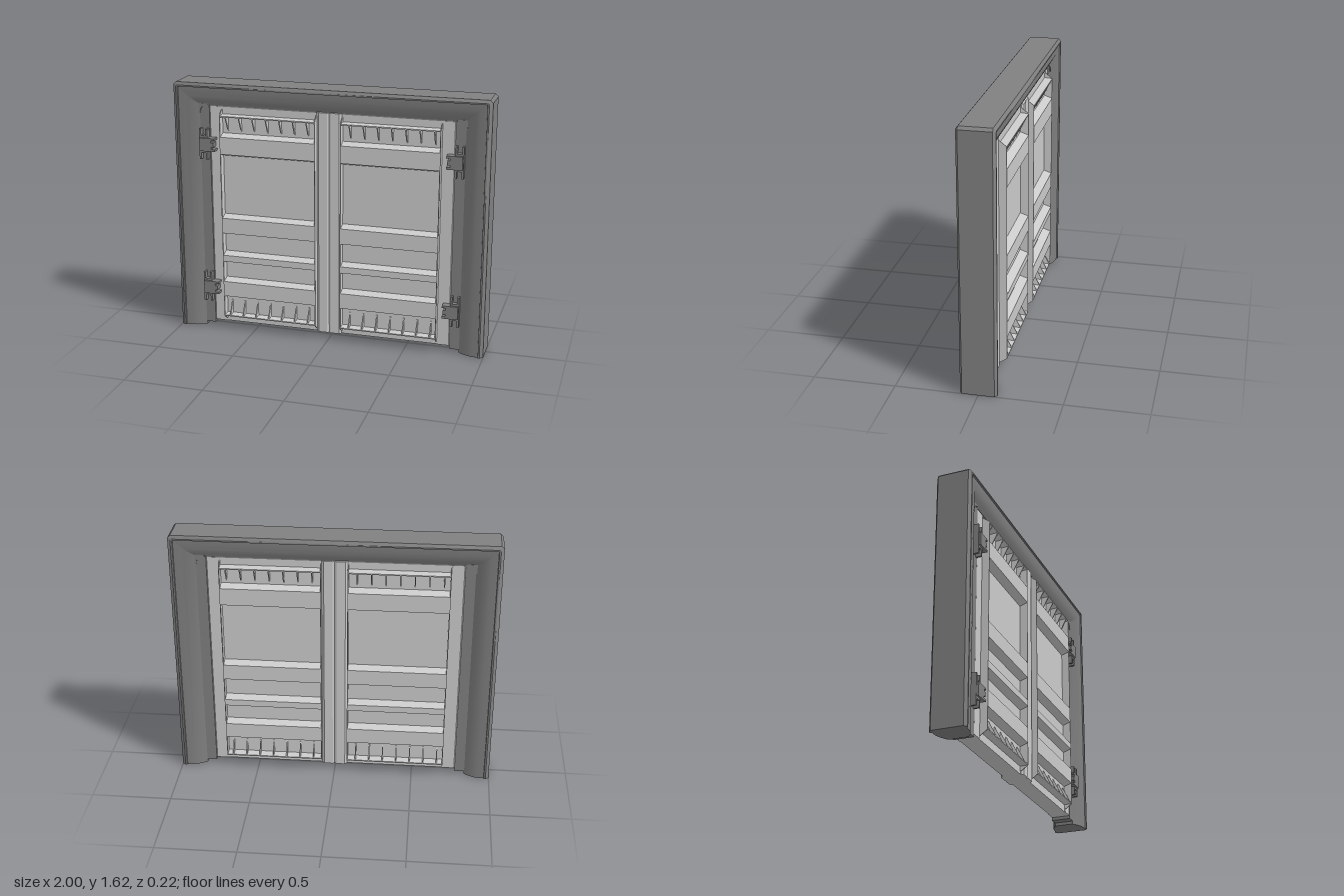
import * as THREE from 'three';
import { toCreasedNormals } from 'three/addons/utils/BufferGeometryUtils.js';

const dark = new THREE.MeshStandardMaterial({ color: 0x808080 });
const light = new THREE.MeshStandardMaterial({ color: 0xcccccc, flatShading: true });

function add(parent, name, geometry, material) {
  const mesh = new THREE.Mesh(geometry, material);
  mesh.name = name;
  parent.add(mesh);
  return mesh;
}

function box(parent, name, material, x, y, z, w, h, d) {
  add(parent, name, new THREE.BoxGeometry(w, h, d), material).position.set(x, y, z);
}

function extrude(points, depth) {
  const shape = new THREE.Shape(points.map(([x, y]) => new THREE.Vector2(x, y)));
  return new THREE.ExtrudeGeometry(shape, { depth, bevelEnabled: false });
}

// Outline in (z, y), centred on cx along x
function extrudeX(points, cx, width) {
  const flipped = points.map(([z, y]) => [-z, y]);
  return extrude(flipped, width).translate(0, 0, -width / 2).rotateY(Math.PI / 2).translate(cx, 0, 0);
}

// Outline in (x, z) with a mirrored back half, rising from y0 to y1
function upright(half, s, y0, y1) {
  const pts = half.map(([x, z]) => [s * x, z]);
  const back = pts.map(([x, z]) => [x, -z]).reverse();
  return extrude([...pts, ...back], y1 - y0).rotateX(-Math.PI / 2).translate(0, y0, 0);
}

// Portal frame: one moulded section swept up, across and down, with the
// outer corners slightly cut off
function frameGeometry() {
  const front = [[0, 0.097], [0.02, 0.112], [0.03, 0.112], [0.032, 0.103],
    [0.07, 0.101], [0.1, 0.094], [0.13, 0.08], [0.16, 0.06]];
  const n = front.length;
  const loop = [...front, ...front.map(([d, z]) => [d, -z]).reverse()];
  // side, at the top?, share of the corner cut taken along x and y
  const stations = [[-1, 0, 0, 0], [-1, 1, 0, 1], [-1, 1, 1, 0], [1, 1, 1, 0], [1, 1, 0, 1], [1, 0, 0, 0]];
  const last = stations.length - 1;
  const point = (s, i) => {
    const [side, top, cx, cy] = stations[s];
    const [d, z] = loop[i % loop.length];
    const cut = 0.003 + Math.max(0, 0.014 - d * 0.5);
    return [side * (1 - d - cx * cut), top ? 1.625 - d * 0.9 - cy * cut : 0, z];
  };
  const pos = [];
  const quad = (a, b, c, d) => pos.push(...a, ...b, ...c, ...a, ...c, ...d);
  for (let s = 0; s < last; s++)
    for (let i = 0; i < loop.length; i++)
      quad(point(s, i), point(s, i + 1), point(s + 1, i + 1), point(s + 1, i));
  // Feet
  for (let i = 0; i < n - 1; i++) {
    const j = 2 * n - 1 - i;
    quad(point(0, i), point(0, j), point(0, j - 1), point(0, i + 1));
    quad(point(last, i), point(last, i + 1), point(last, j - 1), point(last, j));
  }
  const g = new THREE.BufferGeometry();
  g.setAttribute('position', new THREE.Float32BufferAttribute(pos, 3));
  return toCreasedNormals(g, 0.5);
}

// Raised rails (bottom, top) standing out from the door leaf with sloping edges
const RAILS = [[0.09, 0.097], [0.23, 0.33], [0.468, 0.51], [0.66, 0.76], [1.18, 1.29], [1.418, 1.425]];
const PANEL_Z = 0.056, RAIL_Z = 0.107, SLOPE = 0.018;

function panelGeometry(cx) {
  const side = [[PANEL_Z, 0.04], [PANEL_Z, 0.088]];
  RAILS.forEach(([a, b], i) => {
    if (i > 0) side.push([PANEL_Z, a - (i < 5 ? SLOPE : 0.004)]);
    side.push([RAIL_Z, a], [RAIL_Z, b], [PANEL_Z, b + (i % 5 ? SLOPE : 0.004)]);
  });
  side.push([PANEL_Z, 1.475]);
  return extrudeX([...side, ...side.map(([z, y]) => [-z, y]).reverse()], cx, 0.62);
}

function makeDoor(s) {
  const door = new THREE.Group();
  door.name = s > 0 ? 'leftDoor' : 'rightDoor';
  add(door, 'ribbedPanel', panelGeometry(s * 0.39), light);
  add(door, 'centrePost', upright([[0, 0.066], [0.012, 0.074], [0.066, 0.074], [0.08, 0.06]], s, 0.04, 1.48), light);
  add(door, 'outerStile', upright([[0.7, 0.06], [0.775, 0.06], [0.782, 0.052]], s, 0.04, 1.475), light);

  for (const f of [1, -1]) {
    // Thin side plates closing the bays, tapered at both ends
    const plate = [[0.05, 0.06], [0.065, 0.06], [RAIL_Z, 0.09], [RAIL_Z, 1.425], [0.065, 1.458], [0.05, 1.458]];
    for (const x of [0.0825, 0.6975])
      add(door, 'sidePlate', extrudeX(plate.map(([z, y]) => [f * z, y]), s * x, 0.005), light);
    // Triangular gussets in the top and bottom bays
    const top = [[0.05, 1.42], [0.105, 1.42], [0.1, 1.405], [0.06, 1.325], [0.05, 1.325]];
    const bottom = [[0.05, 0.095], [0.105, 0.095], [0.1, 0.11], [0.06, 0.19], [0.05, 0.19]];
    for (let i = 0; i < 7; i++) {
      const x = s * (0.136 + i * 0.0873);
      add(door, 'topGusset', extrudeX(top.map(([z, y]) => [f * z, y]), x, 0.007), light);
      add(door, 'bottomGusset', extrudeX(bottom.map(([z, y]) => [f * z, y]), x, 0.007), light);
    }
  }
  return door;
}

// Hinge: pronged wall plate and a knuckle block with a toothed end
function makeHinge(s, y) {
  const hinge = new THREE.Group();
  hinge.name = 'hinge';
  const half = [[0.84, 0.098], [0.828, 0.098], [0.828, 0.055], [0.797, 0.055], [0.797, 0.098],
    [0.785, 0.098], [0.785, 0.04]];
  const outline = [...half, ...half.map(([x, h]) => [x, -h]).reverse()];
  const teeth = [[0.735, 0.042], [0.735, 0.028], [0.758, 0.028], [0.758, 0.014], [0.742, 0.014]];
  const block = [[0.835, 0.042], ...teeth, ...teeth.map(([x, h]) => [x, -h]).reverse(), [0.835, -0.042]];
  const flip = (pts) => pts.map(([x, h]) => [s * x, h]);
  add(hinge, 'hingePlate', extrude(flip(outline), 0.04).translate(0, 0, 0.058), dark);
  add(hinge, 'knuckle', extrude(flip(block), 0.052).translate(0, 0, 0.058), dark);
  hinge.position.y = y;
  return hinge;
}

export function createModel() {
  const model = new THREE.Group();
  model.name = 'doubleDoor';

  add(model, 'frame', frameGeometry(), dark);
  box(model, 'headJamb', dark, 0, 1.482, 0, 1.66, 0.016, 0.116);
  for (const s of [1, -1]) {
    box(model, 'sideJamb', dark, s * 0.812, 0.75, 0, 0.064, 1.46, 0.124);
    // Rounded fillet in the upper corner of the opening
    const corner = [[0.85, 1.49], [0.85, 1.43], [0.84, 1.43], [0.834, 1.458], [0.82, 1.474], [0.79, 1.482], [0.79, 1.49]];
    add(model, 'cornerFillet', extrude(corner.map(([x, y]) => [s * x, y]), 0.136).translate(0, 0, -0.068), dark);
    model.add(makeDoor(s));
    for (const y of [0.28, 1.235]) model.add(makeHinge(s, y));
  }
  return model;
}
